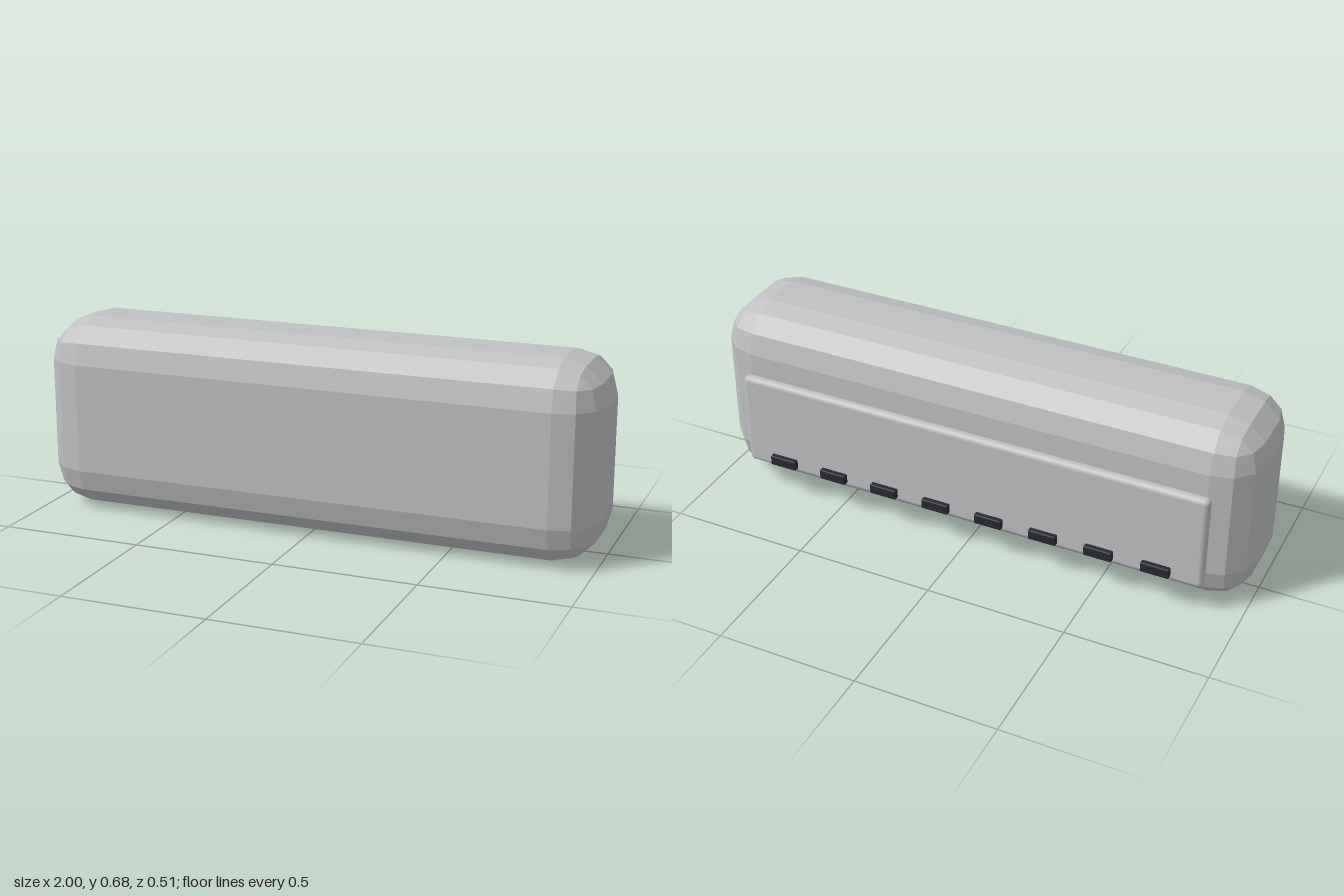
import * as THREE from 'three';
import { ConvexGeometry } from 'three/addons/geometries/ConvexGeometry.js';
import { RoundedBoxGeometry } from 'three/addons/geometries/RoundedBoxGeometry.js';

// Faceted box: every corner is a three-step bevel patch, closed as a convex hull
function beveledBox(w, h, d, r) {
  const c = Math.cos(Math.PI / 6), s = 0.5;
  const patch = [
    [1, 0, 0], [0, 1, 0], [0, 0, 1],
    [c, s, 0], [s, c, 0], [0, c, s], [0, s, c], [c, 0, s], [s, 0, c],
    [0.75, 0.47, 0.47], [0.47, 0.75, 0.47], [0.47, 0.47, 0.75],
  ];
  const points = [];
  for (const sx of [-1, 1]) for (const sy of [-1, 1]) for (const sz of [-1, 1]) {
    for (const [x, y, z] of patch) {
      points.push(new THREE.Vector3(
        sx * (w / 2 - r + x * r),
        sy * (h / 2 - r + y * r),
        sz * (d / 2 - r + z * r)));
    }
  }
  return new ConvexGeometry(points);
}

export function createModel() {
  const model = new THREE.Group();
  model.name = 'wallUnit';

  const shell = new THREE.MeshStandardMaterial({ color: 0xbfc0c2 });
  shell.name = 'light grey shell';
  const dark = new THREE.MeshStandardMaterial({ color: 0x282a31 });
  dark.name = 'dark slot';

  const add = (name, geometry, material, x, y, z) => {
    const mesh = new THREE.Mesh(geometry, material);
    mesh.name = name;
    mesh.position.set(x, y, z);
    model.add(mesh);
  };

  // Main body
  add('body', beveledBox(2, 0.683, 0.445, 0.148), shell, 0, 0.3415, 0.0325);

  // Back panel with a rounded rim
  add('backPanel', new RoundedBoxGeometry(1.74, 0.354, 0.041, 3, 0.019), shell, 0, 0.283, -0.2065);

  // Row of slots along the lower edge of the panel
  const slot = new RoundedBoxGeometry(0.102, 0.037, 0.022, 2, 0.005);
  for (let i = 0; i < 8; i++) {
    add(`slot${i + 1}`, slot, dark, (i - 3.5) * 0.203, 0.15, -0.242);
  }

  return model;
}
